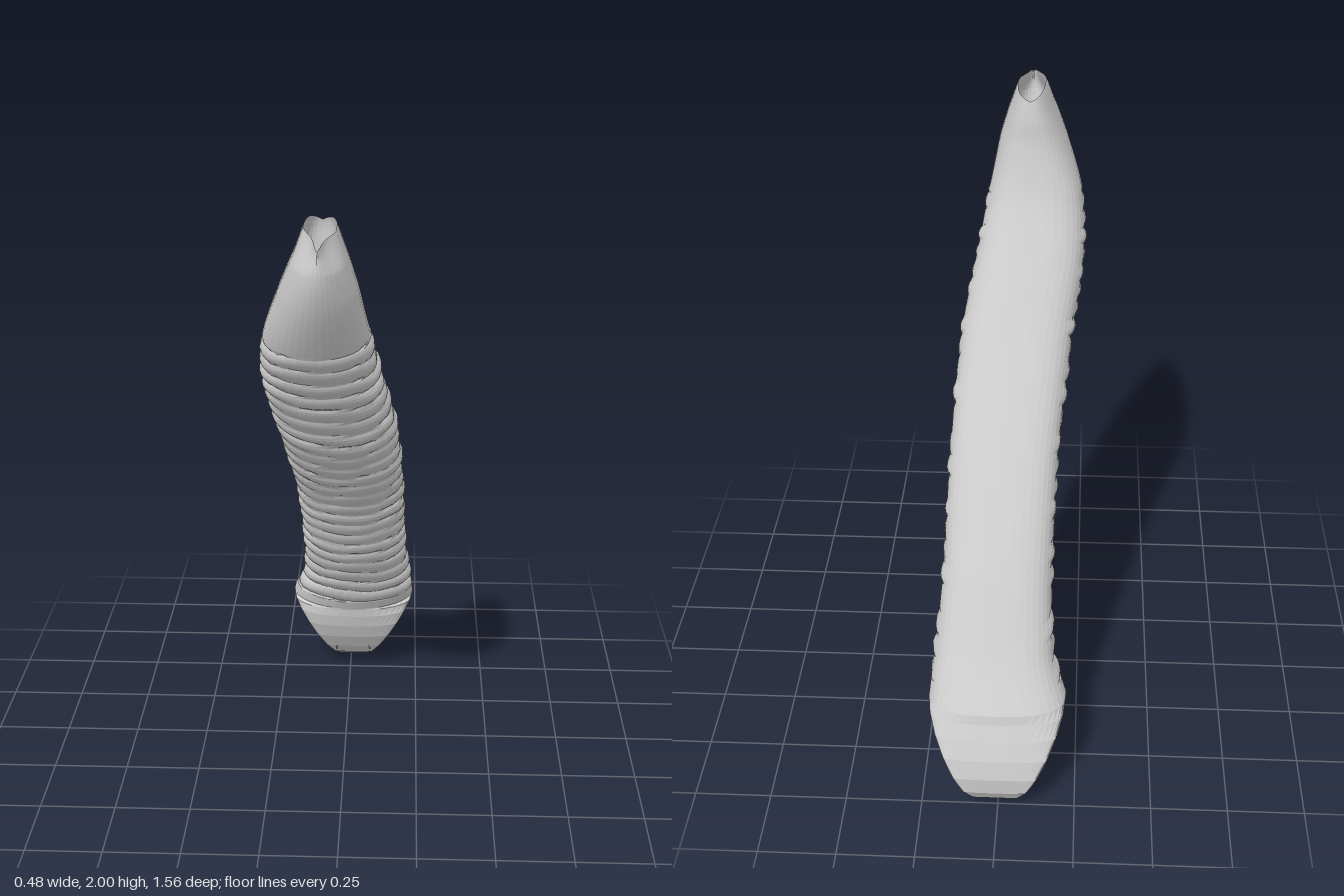
import * as THREE from 'three';

const V = (x, y, z) => new THREE.Vector3(x, y, z);
const { lerp, smoothstep } = THREE.MathUtils;
const COLS = 40, ROWS = 240, RINGS = 23;

// Sections from the fork upwards: front z, y; back z, y; centre x; half width
const SECTIONS = [
  [-0.40, 0.30, -0.70, 0.33, 0.01, 0.225],
  [-0.34, 0.41, -0.60, 0.45, 0.025, 0.195],
  [-0.20, 0.60, -0.42, 0.70, 0.02, 0.18],
  [0.00, 0.88, -0.20, 0.975, 0.012, 0.18],
  [0.28, 1.18, 0.08, 1.31, -0.018, 0.187],
  [0.50, 1.44, 0.255, 1.54, -0.06, 0.18],
  [0.65, 1.62, 0.345, 1.68, -0.07, 0.16],
  [0.755, 1.80, 0.40, 1.83, -0.06, 0.115],
  [0.78, 1.90, 0.415, 1.92, -0.055, 0.08],
  [0.77, 1.97, 0.43, 1.98, -0.052, 0.046],
];
const fronts = new THREE.CatmullRomCurve3(SECTIONS.map((s) => V(0, s[1], s[0])));
const backs = new THREE.CatmullRomCurve3(SECTIONS.map((s) => V(0, s[3], s[2])));
const widths = new THREE.CatmullRomCurve3(SECTIONS.map((s) => V(s[4], s[5], 0)));

// Unit outline: round at the front, flattened at the back
function outline(a) {
  const c = Math.cos(a), s = Math.sin(a);
  const p = s < -1e-6 ? 0.75 : 1;
  return [Math.sign(c) * Math.abs(c) ** p, Math.sign(s) * Math.abs(s) ** p];
}

// Raised hoop profile that fades out towards the flat back
function hoop(y, a) {
  const f = (y - 0.34) / 1.28 * RINGS;
  if (f < 0 || f > RINGS) return 0;
  const phase = f + 0.12 * Math.sin(2 * a + f * 0.35) + 0.05 * Math.sin(5 * a + f * 0.9);
  const k = Math.floor(phase);
  const limit = -0.15 + 0.25 * Math.sin(k * 2.4 + (Math.cos(a) > 0 ? 1 : 0));
  const mask = smoothstep(Math.sin(a), limit - 0.2, limit + 0.2);
  const height = 0.012 + 0.003 * Math.sin(k * 1.7);
  return mask * height * (Math.sin(Math.PI * (phase - k)) ** 0.7 - 0.5);
}

// Surface from a grid of points; rows run upwards, columns from left to front to right
function gridMesh(name, rows, cols, point) {
  const pos = [], index = [];
  for (let i = 0; i <= rows; i++) {
    for (let j = 0; j <= cols; j++) {
      pos.push(...point(i / rows, j / cols).toArray());
      if (i < rows && j < cols) {
        const a = i * (cols + 1) + j, b = a + cols + 1;
        index.push(a, b, a + 1, b, b + 1, a + 1);
      }
    }
  }
  const geo = new THREE.BufferGeometry();
  geo.setAttribute('position', new THREE.Float32BufferAttribute(pos, 3));
  geo.setIndex(index);
  geo.computeVertexNormals();
  const mesh = new THREE.Mesh(geo, new THREE.MeshStandardMaterial({
    color: 0xcccccc, flatShading: true, side: THREE.DoubleSide,
  }));
  mesh.name = name;
  return mesh;
}

// Main tube, pinched to a slit at the top; relief(y, a, v) is the offset from the wall
function tubePoint(relief) {
  return (v, u) => {
    const a = u * Math.PI * 2;
    const f = fronts.getPoint(v), b = backs.getPoint(v), w = widths.getPoint(v);
    const [ox, od] = outline(a);
    const grow = 1 + relief(f.y, a, v) / 0.16;
    const p = f.clone().add(b).multiplyScalar(0.5);
    p.addScaledVector(f.sub(b).multiplyScalar(0.5), od * grow);
    // the lip rises at the sides and closes towards the front
    const lip = smoothstep(v, 0.88, 1);
    const pinch = 1 - 0.6 * lip * smoothstep(od, 0.1, 0.8);
    p.x = w.x + w.y * ox * grow * pinch;
    p.y += lip * 0.022 * Math.abs(ox) * (1 - 0.2 * ox);
    return p;
  };
}

// Smooth lining just inside the hoops, meeting the wall at both ends
function liningDepth(y, a, v) {
  return -0.02 * smoothstep(v, 0, 0.06) * (1 - smoothstep(v, 0.8, 1));
}

// Point on the slanted side opening: phi 0 at the top, PI at the bottom
function rimPoint(phi, facing, ox) {
  const [fz, fy, bz, by, cx, hw] = SECTIONS[0];
  const k = (1 - Math.cos(phi)) / 2, s = Math.sin(phi);
  return V(
    cx + lerp(hw, 0.045, k) * ox,
    lerp((fy + by) / 2, 0.004, k) - (facing < 0 ? 0.03 * s : 0),
    lerp((fz + bz) / 2, -0.64, k) + (facing > 0 ? 0.13 : -0.175) * s,
  );
}

// Fork wall between the two side openings; facing is 1 for front, -1 for back
function forkPoint(facing) {
  const [fz, fy, bz, by] = SECTIONS[0];
  return (v, u) => {
    const [ox, od] = outline((facing > 0 ? 0 : Math.PI) + u * Math.PI);
    const bulge = v ** (facing > 0 ? 3 : 4) * od / 2;
    return rimPoint((1 - v) * Math.PI, facing, ox)
      .add(V(0, bulge * (fy - by), bulge * (fz - bz)));
  };
}

// Saddle-shaped ridge that parts the two openings inside
function ridgePoint(v, u) {
  const s = 1 - 2 * u, z = 2 * v - 1;
  const crest = 0.12 + 0.045 * z * z;
  return V(0.01 + 0.065 * s, lerp(crest, 0.035 + 0.06 * z * z, s * s), -0.605 - 0.125 * z);
}

// Inner lip around the upper part of an opening
function collarPoint(side) {
  return (v, u) => {
    const phi = lerp(-0.6, 0.6, u) * Math.PI;
    const p = rimPoint(Math.abs(phi), phi < 0 ? -1 : 1, side);
    return p.lerp(V(0.01 + 0.11 * side, 0.16, -0.61), 0.24 * v);
  };
}

export function createModel() {
  const model = new THREE.Group();
  model.name = 'windpipe';
  model.add(gridMesh('ribbedTube', ROWS, COLS, tubePoint(hoop)));
  model.add(gridMesh('innerLining', 40, COLS, tubePoint(liningDepth)));
  model.add(gridMesh('forkFrontWall', 8, COLS / 2, forkPoint(1)));
  model.add(gridMesh('forkBackWall', 8, COLS / 2, forkPoint(-1)));
  model.add(gridMesh('forkRidge', 8, 8, ridgePoint));
  model.add(gridMesh('leftCollar', 1, 20, collarPoint(1)));
  model.add(gridMesh('rightCollar', 1, 20, collarPoint(-1)));
  return model;
}
